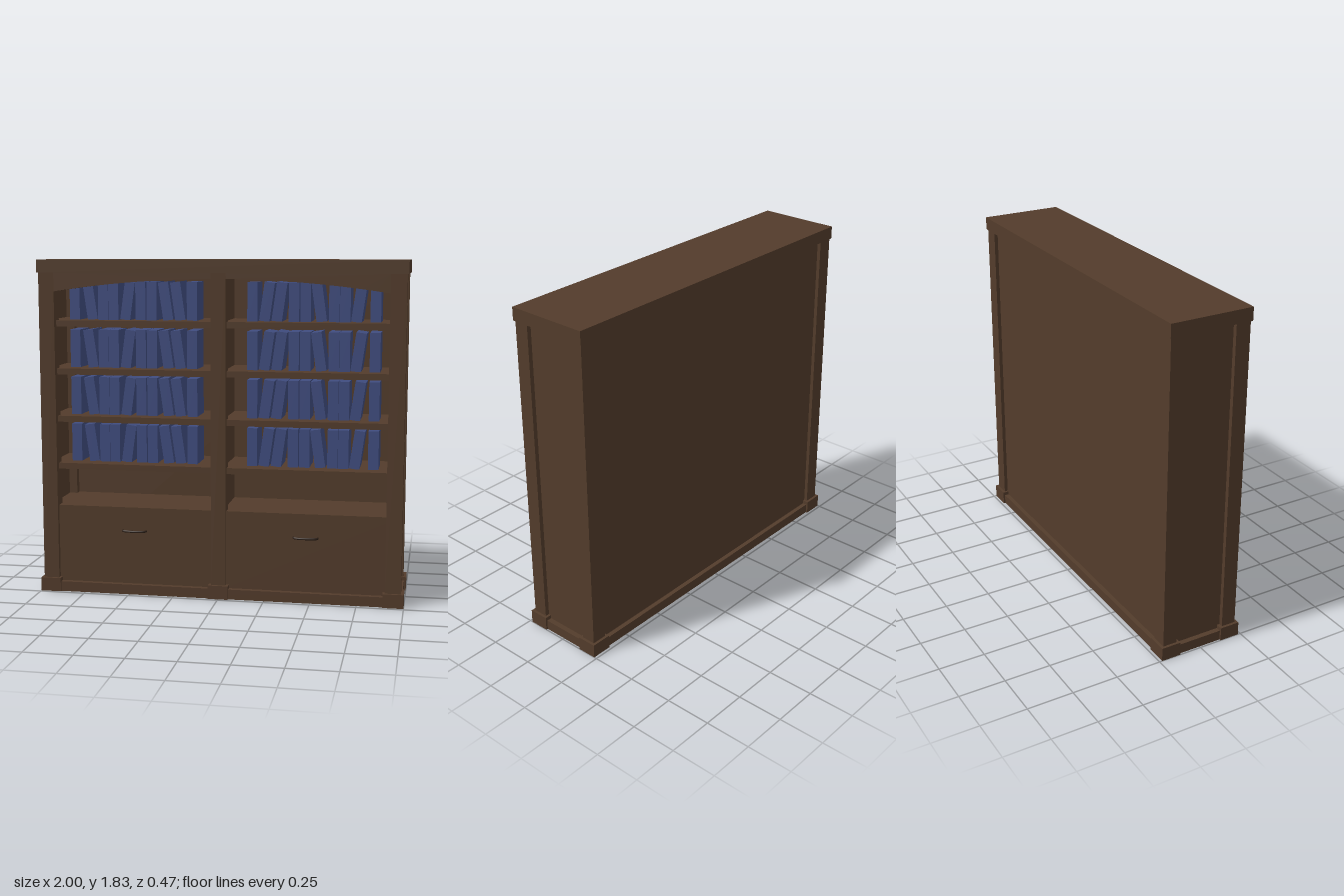
import * as THREE from 'three';

const wood = new THREE.MeshStandardMaterial({ color: 0x533c2b });
const cloth = new THREE.MeshStandardMaterial({ color: 0x404d80 });
const metal = new THREE.MeshStandardMaterial({ color: 0x2e2119 });

export function createModel() {
  const model = new THREE.Group();
  model.name = 'bookcase';

  // Box given by its min and max corner on each axis
  function box(name, x0, x1, y0, y1, z0, z1, material = wood) {
    const mesh = new THREE.Mesh(new THREE.BoxGeometry(x1 - x0, y1 - y0, z1 - z0), material);
    mesh.position.set((x0 + x1) / 2, (y0 + y1) / 2, (z0 + z1) / 2);
    mesh.name = name;
    model.add(mesh);
    return mesh;
  }
  // The same box on the left (s = 1) or right (s = -1) side
  const sided = (name, s, x0, x1, ...rest) =>
    s > 0 ? box(name, x0, x1, ...rest) : box(name, -x1, -x0, ...rest);

  // Crown, plinth, back and centre
  box('crown', -0.993, 0.993, 1.76, 1.83, -0.227, 0.227);
  box('plinth', -0.99, 0.99, 0, 0.055, -0.225, 0.225);
  box('backPanel', -0.96, 0.96, 0.055, 1.76, -0.2, -0.18);
  box('centreDivider', -0.02, 0.02, 0.055, 1.76, -0.18, 0.14);
  box('centreStile', -0.04, 0.04, 0.055, 1.76, 0.14, 0.22);
  box('centreFoot', -0.055, 0.055, 0, 0.075, 0.14, 0.235);

  // Arched frieze across both bays
  const arch = new THREE.Shape();
  arch.moveTo(-0.9, 1.76);
  for (let i = 0; i <= 24; i++) {
    const x = -0.9 + 1.8 * i / 24;
    arch.lineTo(x, 1.73 - 0.07 * (x / 0.9) ** 2);
  }
  arch.lineTo(0.9, 1.76);
  const frieze = new THREE.Mesh(
    new THREE.ExtrudeGeometry(arch, { depth: 0.06, bevelEnabled: false }), wood);
  frieze.position.z = 0.16;
  frieze.name = 'archedFrieze';
  model.add(frieze);

  const shelfY = [0.685, 0.947, 1.208, 1.47];
  // Book centre x and lean (1 = top tilts outward), from the outer end inward
  const books = [[0.82, 0], [0.733, 1], [0.66, 0], [0.602, 0], [0.522, -1],
    [0.45, 0], [0.388, 0], [0.31, 1], [0.243, 1], [0.165, 0]];
  const bookW = 0.056, bookH = 0.208, tilt = 0.14;

  for (const s of [1, -1]) {
    // Corner posts with their feet, and the recessed side panel
    for (const f of [1, -1]) {
      const zs = (a, b) => (f > 0 ? [a, b] : [-b, -a]);
      sided('cornerPost', s, 0.9, 0.985, 0.055, 1.76, ...zs(0.14, 0.22));
      sided('cornerFoot', s, 0.888, 1, 0, 0.075, ...zs(0.125, 0.235));
    }
    sided('sidePanel', s, 0.945, 0.962, 0.055, 1.76, -0.2, 0.2);

    // Shelves, notched behind the front posts
    for (const y of shelfY) {
      sided('shelf', s, 0.02, 0.945, y, y + 0.033, -0.18, 0.14);
      sided('shelfFront', s, 0.04, 0.9, y, y + 0.033, 0.14, 0.185);

      // Row of books
      for (const [x, lean] of books) {
        const book = sided('book', s, x - bookW / 2, x + bookW / 2,
          y + 0.033, y + 0.033 + bookH, -0.08, 0.1, cloth);
        book.rotation.z = -s * lean * tilt;
      }
    }

    // Drawer with its top board
    sided('drawerTop', s, 0.02, 0.945, 0.45, 0.483, -0.18, 0.14);
    sided('drawerTopFront', s, 0.04, 0.9, 0.45, 0.483, 0.14, 0.195);
    sided('drawerFront', s, 0.04, 0.9, 0.055, 0.45, 0.16, 0.195);

    // Bowed drawer pull
    const path = new THREE.CatmullRomCurve3([[-0.066, 0.19], [-0.06, 0.21], [-0.03, 0.219],
      [0.03, 0.219], [0.06, 0.21], [0.066, 0.19]].map(([x, z]) => new THREE.Vector3(x, 0, z)));
    const pull = new THREE.Mesh(new THREE.TubeGeometry(path, 24, 0.006, 8), metal);
    pull.position.set(s * 0.472, 0.353, 0);
    pull.name = 'drawerPull';
    model.add(pull);
  }
  return model;
}
